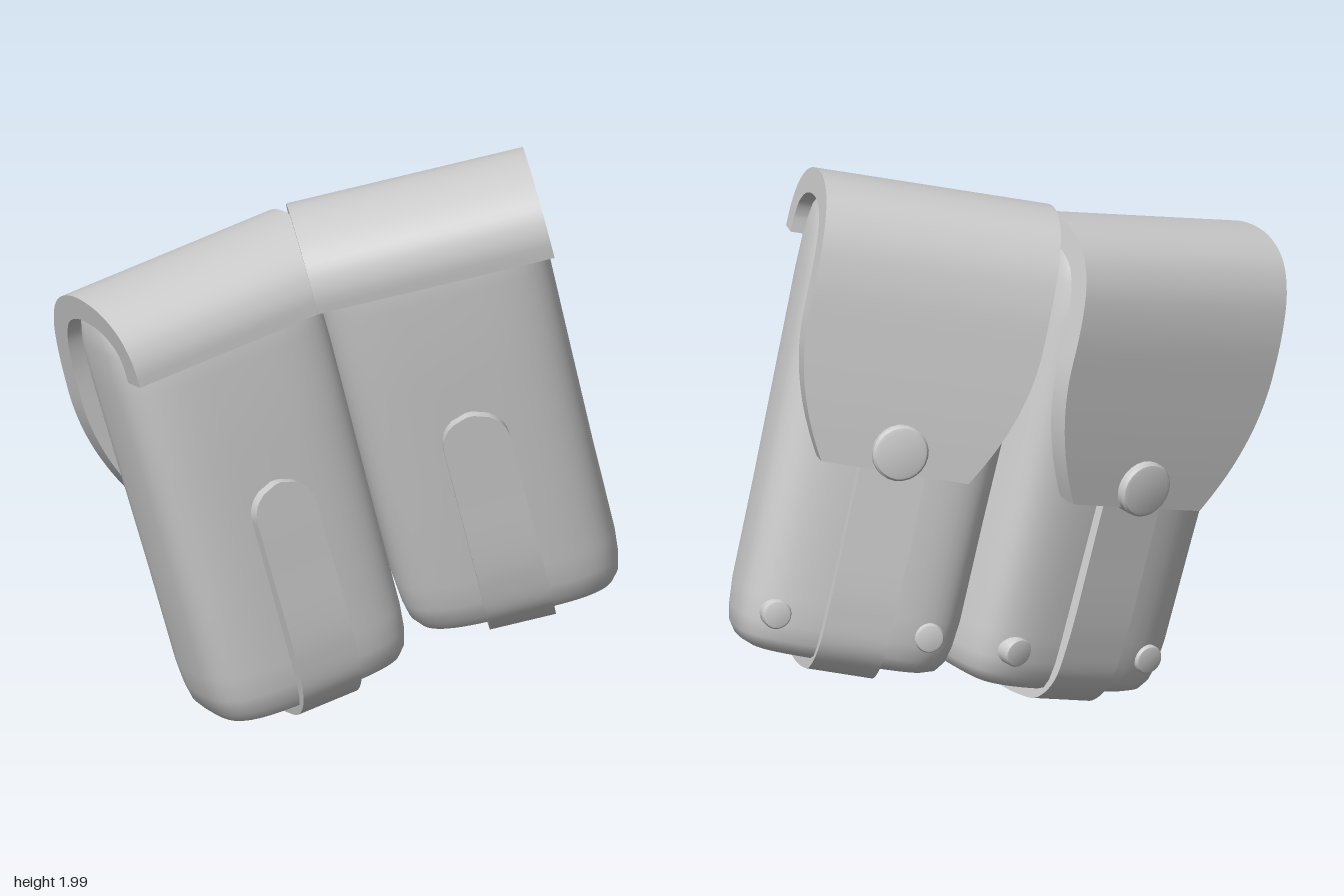
import * as THREE from 'three';
import { toCreasedNormals } from 'three/addons/utils/BufferGeometryUtils.js';

const material = new THREE.MeshStandardMaterial({ color: 0xcccccc });

function addMesh(parent, name, geometry) {
  const mesh = new THREE.Mesh(geometry, material);
  mesh.name = name;
  parent.add(mesh);
}

// Joins equal-length rings of points into a closed skin, with flat caps
function skin(rings, crease) {
  const n = rings[0].length;
  const index = [];
  for (let i = 0; i < rings.length - 1; i++) {
    for (let j = 0; j < n; j++) {
      const a = i * n + j, b = i * n + (j + 1) % n;
      index.push(a, b, b + n, a, b + n, a + n);
    }
  }
  const last = (rings.length - 1) * n;
  for (let j = 1; j < n - 1; j++) {
    index.push(0, j + 1, j, last, last + j, last + j + 1);
  }
  const geometry = new THREE.BufferGeometry();
  geometry.setAttribute('position', new THREE.Float32BufferAttribute(rings.flat(2), 3));
  geometry.setIndex(index);
  return toCreasedNormals(geometry, crease);
}

// Thick leather band following a [z, y] path, its outer side on the right of travel
function band(path, thickness, halfWidth, steps) {
  const curve = new THREE.CatmullRomCurve3(path.map(([z, y]) => new THREE.Vector3(0, y, z)));
  const rings = [];
  for (let i = 0; i <= steps; i++) {
    const t = i / steps;
    const p = curve.getPointAt(t), d = curve.getTangentAt(t);
    const h = halfWidth(t);
    const y = p.y + d.z * thickness, z = p.z - d.y * thickness;
    rings.push([[-h, p.y, p.z], [h, p.y, p.z], [h, y, z], [-h, y, z]]);
  }
  return skin(rings, 0.7);
}

// Soft rounded box: [height, width scale, depth scale] per ring
function bodyGeometry() {
  const levels = [
    [0.12, 0.78, 0.72], [0.135, 0.87, 0.86], [0.17, 0.93, 0.94], [0.23, 0.96, 0.99], [0.32, 0.98, 1],
    [0.7, 0.99, 1], [1.1, 1.01, 1], [1.45, 1.03, 0.98], [1.6, 1.03, 0.93], [1.68, 1.01, 0.8], [1.72, 0.98, 0.55],
  ];
  const round = (c) => Math.sign(c) * Math.abs(c) ** 0.56;
  const rings = levels.map(([y, sx, sz]) => {
    const ring = [];
    for (let j = 0; j < 48; j++) {
      const a = (j / 48) * Math.PI * 2;
      ring.push([0.41 * sx * round(Math.cos(a)), y, -0.24 * sz * round(Math.sin(a))]);
    }
    return ring;
  });
  return skin(rings, 0.8);
}

// Flat stud facing the back
function stud(parent, name, radius, height, x, y, z) {
  const profile = [[radius, -0.05], [radius, 0.6 * height], [0.92 * radius, 0.9 * height], [0.8 * radius, height], [0, height]]
    .map(([r, h]) => new THREE.Vector2(r, h));
  const geometry = toCreasedNormals(new THREE.LatheGeometry(profile, 24), 0.6);
  addMesh(parent, name, geometry.rotateX(-Math.PI / 2).translate(x, y, z));
}

// lean, swing: sideways and forward drift of the hanging parts per unit of drop
function createPouch(name, lean, swing) {
  const pouch = new THREE.Group();
  pouch.name = name;
  addMesh(pouch, 'body', bodyGeometry());

  // Flap: short lip in front, over the top, tapering down the back
  const flapPath = [
    [0.315, 1.55], [0.31, 1.63], [0.27, 1.715], [0.18, 1.78], [0.05, 1.81], [-0.09, 1.8],
    [-0.2, 1.745], [-0.27, 1.645], [-0.305, 1.5], [-0.315, 1.25], [-0.315, 1.02], [-0.31, 0.84],
  ];
  const flapHalf = (t) => 0.43 - 0.16 * Math.max(0, (t - 0.68) / 0.32) ** 2;
  addMesh(pouch, 'flap', band(flapPath, 0.09, flapHalf, 60));

  // Strap: from under the flap, around the bottom, to a rounded tip in front
  const strapPath = [
    [-0.275, 1.05], [-0.28, 0.7], [-0.28, 0.32], [-0.255, 0.17], [-0.18, 0.09], [-0.08, 0.07],
    [0.08, 0.07], [0.18, 0.09], [0.255, 0.17], [0.285, 0.32], [0.285, 0.7], [0.28, 0.99],
  ];
  const strapHalf = (t) => 0.12 * Math.sqrt(Math.max(0.01, 1 - Math.max(0, (t - 0.95) / 0.05) ** 2));
  addMesh(pouch, 'strap', band(strapPath, 0.06, strapHalf, 120));

  // Flap button and bottom rivets
  stud(pouch, 'button', 0.1, 0.035, 0, 0.915, -0.315);
  for (const side of [-1, 1]) stud(pouch, 'rivet', 0.052, 0.022, 0.01 + side * 0.28, 0.265, -0.225);

  // Sag of the hanging parts
  const sag = new THREE.Matrix4().makeShear(0, 0, -lean, -swing, 0, 0).setPosition(1.6 * lean, 0, 1.6 * swing);
  for (const part of pouch.children) part.geometry.applyMatrix4(sag);
  return pouch;
}

// Places a pouch in its own tilted frame, offset along its width, height and depth
function place(pouch, widthAxis, upAxis, across, up, depth) {
  const u = new THREE.Vector3(...widthAxis).normalize();
  const w = u.clone().cross(new THREE.Vector3(...upAxis)).normalize();
  const frame = new THREE.Matrix4().makeBasis(u, w.clone().cross(u), w);
  pouch.quaternion.setFromRotationMatrix(frame);
  pouch.position.set(across, up, depth).applyMatrix4(frame);
  return pouch;
}

export function createModel() {
  const model = new THREE.Group();
  model.name = 'pouchPair';
  model.add(place(createPouch('rightPouch', 0.045, 0.025), [0.59, 0.18, -0.79], [-0.18, 0.98, 0.1], -0.175, 0, 0.015));
  model.add(place(createPouch('leftPouch', 0.035, -0.035), [0.84, 0.2, -0.5], [-0.14, 0.98, 0.14], 0.68, 0.015, -0.14));

  // Stand on the ground
  const bottom = new THREE.Box3().setFromObject(model, true).min.y;
  for (const pouch of model.children) pouch.position.y -= bottom;
  return model;
}
